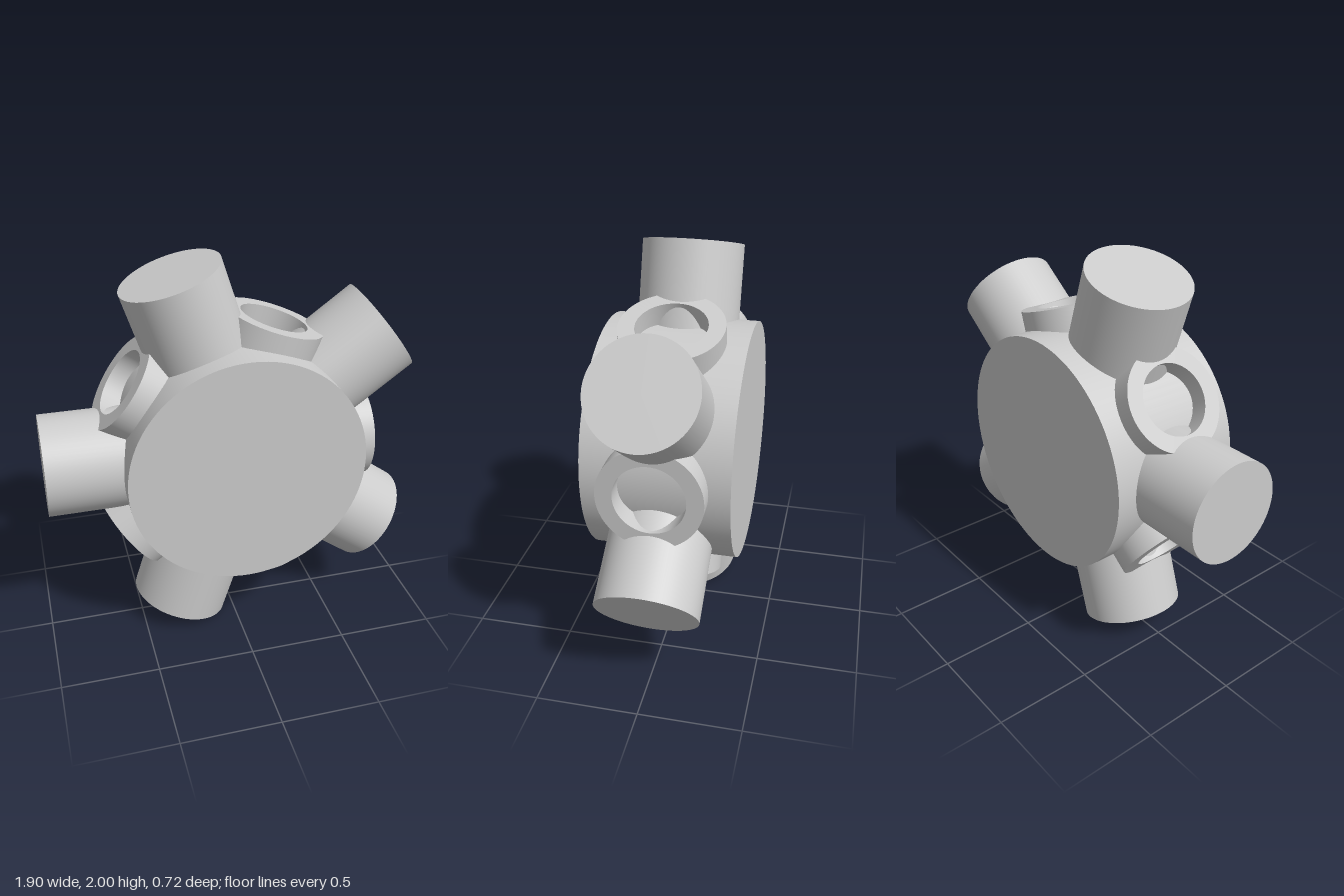
import * as THREE from 'three';

export function createModel() {
  const model = new THREE.Group();
  model.name = 'radialHub';
  const grey = new THREE.MeshStandardMaterial({ color: 0xcccccc });
  grey.name = 'light grey';

  const hubRadius = 0.6, hubDepth = 0.716;
  const pegRadius = 0.255, pegEnd = 0.969;
  const holeRadius = 0.173, ringEnd = 0.693;
  const root = 0.48; // buried start of pegs and rings

  // Everything turns about the hub centre
  const wheel = new THREE.Group();
  wheel.name = 'wheel';
  wheel.position.set(0.017, 1, 0);
  model.add(wheel);

  // Solid drum, axis along z
  const hub = new THREE.Mesh(
    new THREE.CylinderGeometry(hubRadius, hubRadius, hubDepth, 96).rotateX(Math.PI / 2), grey);
  hub.name = 'hub';
  wheel.add(hub);

  // Solid peg pointing along +y
  const pegGeometry = new THREE.CylinderGeometry(pegRadius, pegRadius, pegEnd - root, 64)
    .translate(0, (pegEnd + root) / 2, 0);

  // Socket collar; repeated points keep the rims sharp
  const ringProfile = [
    [pegRadius, root], [pegRadius, ringEnd], [pegRadius, ringEnd],
    [holeRadius, ringEnd], [holeRadius, ringEnd], [holeRadius, root],
  ].map(([r, y]) => new THREE.Vector2(r, y));
  const ringGeometry = new THREE.LatheGeometry(ringProfile, 64);

  const addRadial = (name, geometry, degrees) => {
    const mesh = new THREE.Mesh(geometry, grey);
    mesh.name = name;
    mesh.rotation.z = THREE.MathUtils.degToRad(degrees - 90);
    wheel.add(mesh);
  };

  // Five sockets alternate with five pegs
  for (let i = 0; i < 5; i++) {
    addRadial('socket' + (i + 1), ringGeometry, i * 72);
    addRadial('peg' + (i + 1), pegGeometry, i * 72 + 36);
  }
  return model;
}
